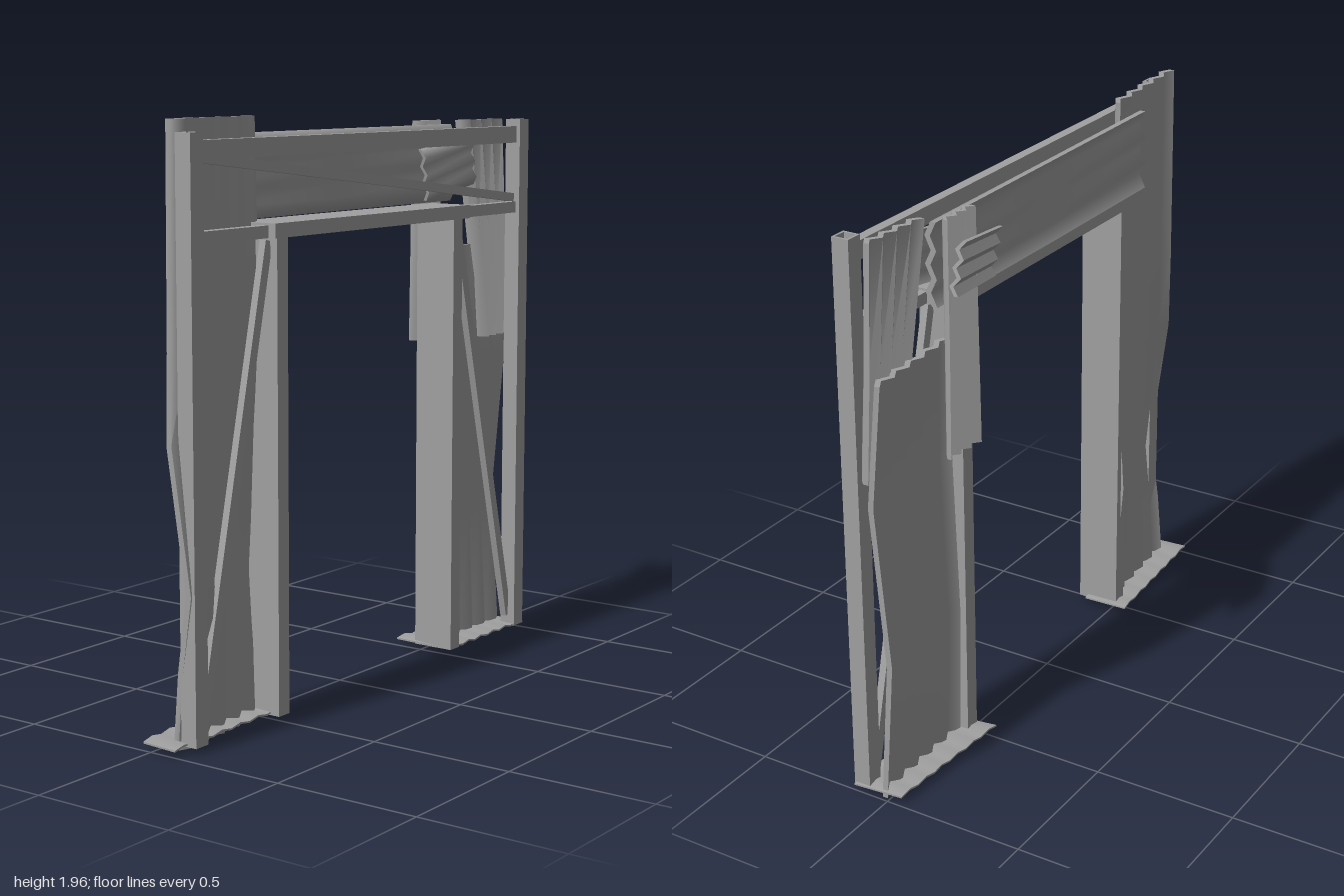
import * as THREE from 'three';
import { toCreasedNormals } from 'three/addons/utils/BufferGeometryUtils.js';

const metal = new THREE.MeshStandardMaterial({ color: 0xa0a0a0, side: THREE.DoubleSide });
metal.name = 'weathered grey metal';

// Straight square bar between two corners
function bar(name, x0, x1, y0, y1, z0, z1) {
  const mesh = new THREE.Mesh(new THREE.BoxGeometry(x1 - x0, y1 - y0, z1 - z0), metal);
  mesh.position.set((x0 + x1) / 2, (y0 + y1) / 2, (z0 + z1) / 2);
  mesh.name = name;
  return mesh;
}

// Upright hollow post
function post(name, x0, x1, y0, y1, z0, z1, wall = 0.008) {
  const rect = (target, g) => {
    target.moveTo(x0 + g, -z0 - g);
    target.lineTo(x1 - g, -z0 - g);
    target.lineTo(x1 - g, -z1 + g);
    target.lineTo(x0 + g, -z1 + g);
    target.closePath();
    return target;
  };
  const shape = rect(new THREE.Shape(), 0);
  shape.holes.push(rect(new THREE.Path(), wall));
  const geo = new THREE.ExtrudeGeometry(shape, { depth: y1 - y0, bevelEnabled: false });
  geo.rotateX(-Math.PI / 2).translate(0, y0, 0);
  const mesh = new THREE.Mesh(geo, metal);
  mesh.name = name;
  return mesh;
}

// Slanting flat brace from (xa, ya) to (xb, yb)
function brace(name, xa, ya, xb, yb, width, z) {
  const dx = xb - xa, dy = yb - ya;
  const mesh = new THREE.Mesh(new THREE.BoxGeometry(Math.hypot(dx, dy), width, 0.025), metal);
  mesh.position.set((xa + xb) / 2, (ya + yb) / 2, z);
  mesh.rotation.z = Math.atan2(dy, dx);
  mesh.name = name;
  return mesh;
}

// Corrugated sheet: each row is a pair of edge points [x,y,z, x,y,z];
// the zigzag runs across the row and is pushed along the given axis (1 = y, 2 = z)
function sheet(name, rows, teeth, { thick = 0.02, amp = 0.011, axis = 2 } = {}) {
  const cols = teeth * 2, ring = (cols + 1) * 2;
  const pos = [], index = [];
  for (const r of rows) {
    for (let k = 0; k < ring; k++) {
      const front = k <= cols;
      const i = front ? k : ring - 1 - k;
      const p = [0, 1, 2].map(a => r[a] + (r[a + 3] - r[a]) * i / cols);
      p[axis] += (i % 2 ? amp : -amp) + (front ? thick : -thick) / 2;
      pos.push(...p);
    }
  }
  for (let j = 0; j < rows.length - 1; j++) {
    for (let k = 0; k < ring; k++) {
      const a = j * ring + k, b = j * ring + (k + 1) % ring;
      index.push(a, b, b + ring, a, b + ring, a + ring);
    }
  }
  // wavy cut ends
  const last = (rows.length - 1) * ring;
  for (let i = 0; i < cols; i++) {
    const a = i, b = i + 1, c = ring - 2 - i, d = ring - 1 - i;
    index.push(a, c, b, a, d, c);
    index.push(last + a, last + b, last + c, last + a, last + c, last + d);
  }
  const geo = new THREE.BufferGeometry();
  geo.setAttribute('position', new THREE.Float32BufferAttribute(pos, 3));
  geo.setIndex(index);
  const mesh = new THREE.Mesh(toCreasedNormals(geo, 1.2), metal);
  mesh.name = name;
  return mesh;
}

export function createModel() {
  const g = new THREE.Group();
  g.name = 'scrapDoorway';

  // Posts
  g.add(post('rightOuterPost', -0.94, -0.88, 0.02, 1.92, 0.075, 0.135));
  g.add(post('leftOuterPost', 0.93, 0.99, 0.02, 1.92, 0.075, 0.135));
  g.add(post('rightDoorPost', -0.52, -0.465, 0.02, 1.58, -0.02, 0.135));
  g.add(post('leftDoorPost', 0.495, 0.55, 0.02, 1.58, -0.02, 0.135));

  // Horizontal members
  g.add(bar('topRail', -0.88, 0.93, 1.835, 1.895, 0.085, 0.12));
  g.add(bar('middleRail', -0.88, 0.93, 1.58, 1.62, 0.085, 0.12));
  g.add(bar('doorLintel', -0.545, 0.58, 1.58, 1.627, -0.02, 0.148));

  // Diagonal braces
  g.add(brace('rightBrace', -0.525, 1.57, -0.87, 0.05, 0.035, 0.095));
  g.add(brace('leftBrace', 0.56, 1.57, 0.935, 0.06, 0.035, 0.095));
  g.add(brace('lintelBrace', -0.87, 1.843, 0.93, 1.635, 0.03, 0.1));

  // Tall bent wall sheet on the right
  g.add(sheet('rightWallSheet', [
    [-0.935, 0.0, 0.06, -0.49, 0.0, 0.02],
    [-0.94, 0.25, 0.085, -0.49, 0.25, 0.01],
    [-0.945, 0.5, 0.125, -0.49, 0.5, -0.01],
    [-0.965, 0.97, 0.07, -0.49, 0.97, 0.02],
    [-0.94, 1.25, 0.055, -0.49, 1.25, 0.04],
    [-0.94, 1.96, 0.06, -0.49, 1.96, 0.025],
  ], 5));

  // Wall sheets on the left: long lower one and a shorter one above it
  g.add(sheet('leftWallSheet', [
    [0.555, 0.0, 0.03, 0.985, 0.0, 0.03],
    [0.555, 0.5, 0.02, 0.985, 0.5, -0.005],
    [0.555, 1.05, 0.04, 0.985, 1.05, 0.045],
    [0.555, 1.47, 0.03, 0.985, 1.47, 0.005],
  ], 5));
  g.add(sheet('leftUpperSheet', [
    [0.79, 1.13, 0.065, 0.985, 1.13, 0.06],
    [0.757, 1.5, 0.04, 0.985, 1.5, 0.04],
    [0.72, 1.92, 0.01, 0.985, 1.92, 0.025],
  ], 4));

  // Panel over the opening, ribs running sideways
  g.add(sheet('lintelPanel', [
    [-0.61, 1.63, -0.01, -0.61, 1.905, -0.005],
    [0.0, 1.63, -0.015, 0.0, 1.905, -0.01],
    [0.7, 1.63, -0.015, 0.7, 1.905, -0.015],
  ], 3));

  // Loose patches on the left
  g.add(sheet('hangingStrip', [
    [0.545, 1.13, -0.07, 0.705, 1.13, -0.06],
    [0.545, 1.5, -0.065, 0.70, 1.5, -0.06],
    [0.545, 1.92, -0.06, 0.70, 1.92, -0.06],
  ], 3, { thick: 0.015 }));
  g.add(sheet('backPatch', [
    [0.42, 1.65, -0.05, 0.40, 1.81, -0.065],
    [0.74, 1.70, -0.12, 0.71, 1.87, -0.135],
  ], 3, { thick: 0.015 }));
  g.add(sheet('frontPatch', [
    [0.435, 1.645, 0.06, 0.40, 1.825, 0.06],
    [0.74, 1.69, 0.06, 0.71, 1.86, 0.06],
  ], 3, { thick: 0.012, amp: 0.008 }));

  // Thin ground sheets under both sides
  const flat = { thick: 0.006, amp: 0.004, axis: 1 };
  g.add(sheet('rightGroundSheet', [
    [-1, 0.025, 0.1, -0.445, 0.03, 0.1],
    [-1, 0.03, -0.03, -0.445, 0.034, -0.07],
  ], 6, flat));
  g.add(sheet('leftGroundSheet', [
    [0.5, 0.025, 0.13, 1, 0.025, 0.13],
    [0.48, 0.036, -0.09, 0.99, 0.03, -0.05],
  ], 6, flat));

  return g;
}
